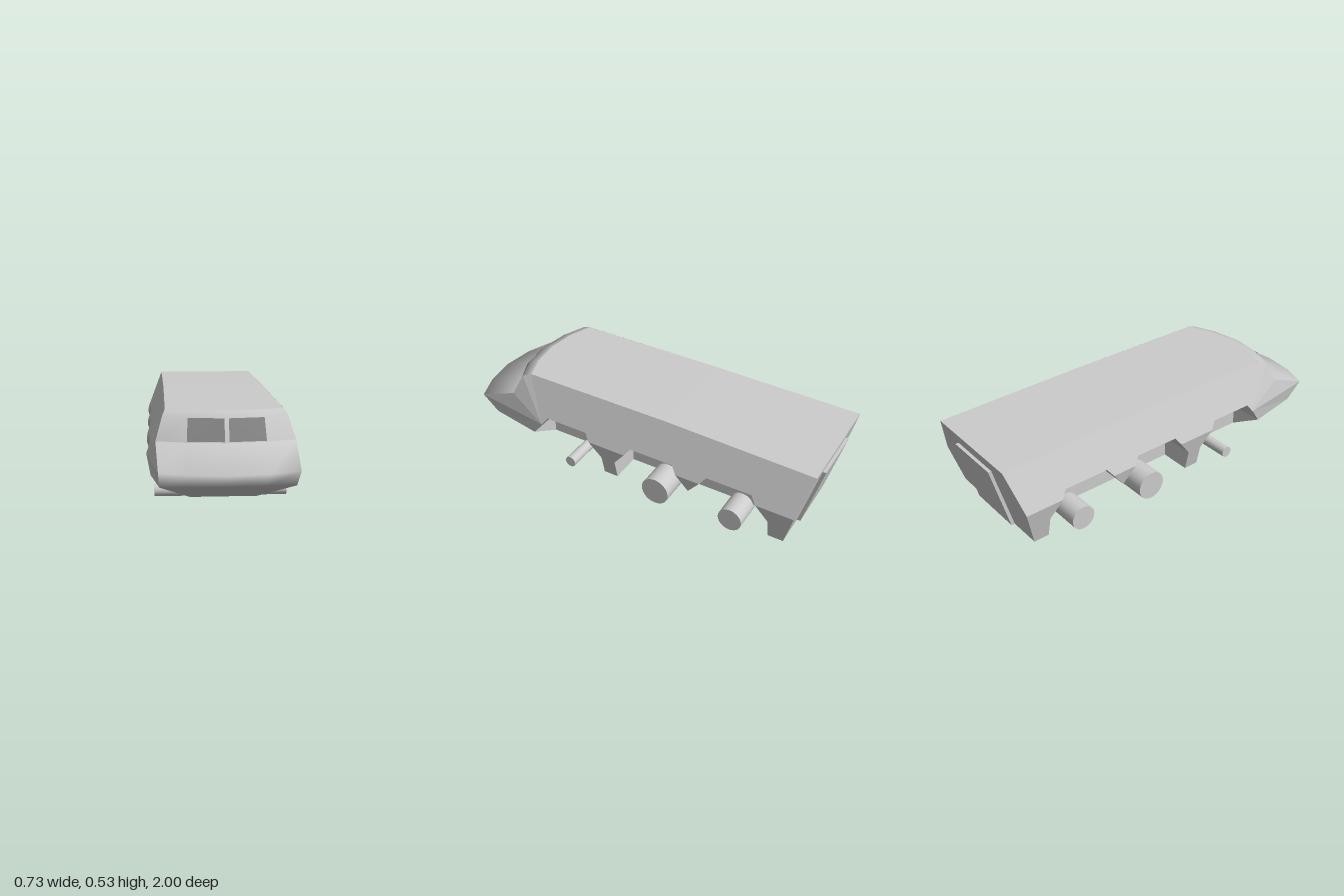
import * as THREE from 'three';

const grey = new THREE.MeshStandardMaterial({ color: 0xcccccc, side: THREE.DoubleSide });
const dark = new THREE.MeshStandardMaterial({ color: 0x888888, side: THREE.DoubleSide });

const INNER = 0.16, FLOOR = 0.1, WAIST = 0.3;
// Half width of the hull at height y: widest at the waist
const halfWidth = y => (y > WAIST ? 0.365 - (y - WAIST) * 0.39 : 0.365 - (WAIST - y) * 0.22);
const out = ([z, y]) => [halfWidth(y), y, z];

// Collects flat polygons, each turned to face along a hint direction
class Faces {
  constructor() { this.data = []; }
  tri(a, b, c, hint) {
    const [p, q, r] = [a, b, c].map(v => new THREE.Vector3(...v));
    const n = q.clone().sub(p).cross(r.clone().sub(p));
    if (n.dot(new THREE.Vector3(...hint)) < 0) [b, c] = [c, b];
    this.data.push(...a, ...b, ...c);
  }
  fan(pts, hint) {
    for (let i = 1; i < pts.length - 1; i++) this.tri(pts[0], pts[i], pts[i + 1], hint);
  }
  // Same polygon on both sides of the hull
  pair(pts, hint) {
    for (const s of [1, -1]) this.fan(pts.map(([x, y, z]) => [x * s, y, z]), [hint[0] * s, hint[1], hint[2]]);
  }
  // Outline in (z, y), laid on both sloped hull sides
  panel(outline) {
    const contour = outline.map(p => new THREE.Vector2(...p));
    for (const t of THREE.ShapeUtils.triangulateShape(contour, []))
      this.pair(t.map(i => out(outline[i])), [1, 0, 0]);
  }
  mesh(name) {
    const g = new THREE.BufferGeometry();
    g.setAttribute('position', new THREE.Float32BufferAttribute(this.data, 3));
    g.computeVertexNormals();
    const m = new THREE.Mesh(g, grey);
    m.name = name;
    return m;
  }
}

// Front cross rows: [half width, height, z at the corner, forward bow at the middle]
const ROWS = [
  [0.275, 0.53, 0.60, 0.065],
  [0.287, 0.51, 0.65, 0.07],
  [0.32, 0.40, 0.70, 0.07],
  [0.31, 0.305, 0.925, 0.075],
  [0.305, 0.22, 0.84, 0.01],
  [0.16, 0.10, 0.56, 0],
];
const US = [-1, -0.55, 0, 0.55, 1];
const rowPoint = ([w, y, z, bow], u) => [w * u, y, z + bow * (1 - u * u)];

// Smooth skin stretched over a run of rows
function skin(rows, name) {
  const pos = rows.flatMap(r => US.flatMap(u => rowPoint(r, u)));
  const idx = [], n = US.length;
  for (let j = 0; j < rows.length - 1; j++)
    for (let i = 0; i < n - 1; i++) {
      const a = j * n + i, b = a + n;
      idx.push(a, b, a + 1, a + 1, b, b + 1);
    }
  const g = new THREE.BufferGeometry();
  g.setAttribute('position', new THREE.Float32BufferAttribute(pos, 3));
  g.setIndex(idx);
  g.computeVertexNormals();
  const m = new THREE.Mesh(g, grey);
  m.name = name;
  return m;
}

function axle(name, r, half, y, z) {
  const m = new THREE.Mesh(new THREE.CylinderGeometry(r, r, half * 2, 40), grey);
  m.rotation.z = Math.PI / 2;
  m.position.set(0, y, z);
  m.name = name;
  return m;
}

export function createModel() {
  const model = new THREE.Group();
  model.name = 'armouredCarrier';

  // Wheel arch outlines (z, y), front to back
  const frontArch = [[0.56, 0.21], [0.49, 0.3], [0.46, 0.34], [0.22, 0.34], [0.192, 0.3], [0.13, 0.21], [0.13, FLOOR]];
  const rearArch = [[0.05, FLOOR], [0.05, 0.21], [-0.02, 0.3], [-0.05, 0.34], [-0.29, 0.34], [-0.318, 0.3],
    [-0.38, 0.21], [-0.449, 0.3], [-0.48, 0.34], [-0.72, 0.34], [-0.748, 0.3], [-0.81, 0.21], [-0.81, FLOOR]];

  // Side armour: upper slope, then the pieces below the waist
  const sides = new Faces();
  const above = [...frontArch, ...rearArch].filter(p => p[1] >= WAIST);
  sides.panel([[0.6, 0.53], ...above, [-0.944, 0.3], [-1, 0.515], [-0.2, 0.53]]);
  sides.panel([...frontArch.slice(4), ...rearArch.slice(0, 3)]);
  sides.panel(rearArch.slice(5, 8));
  sides.panel([...rearArch.slice(10), [-0.89, FLOOR], [-0.944, 0.3]]);
  model.add(sides.mesh('sideArmour'));

  // Nose cheeks between the waist and the front skin
  const cheeks = new Faces();
  const [roofC, browC, sillC, tipC, chinC, keelC] = ROWS.map(r => rowPoint(r, 1));
  const waistC = out([0.49, 0.3]), archC = out([0.56, 0.21]);
  cheeks.pair([waistC, sillC, browC, roofC], [1, 0, 0]);
  cheeks.pair([waistC, tipC, sillC], [1, 0.5, 0]);
  cheeks.pair([waistC, chinC, tipC], [1, -0.3, 0]);
  cheeks.pair([waistC, archC, chinC], [1, -0.3, 0]);
  cheeks.pair([archC, keelC, chinC], [0.3, -1, 0.3]);
  model.add(cheeks.mesh('noseCheeks'));

  // Wheel wells: arch ceilings and inner walls
  const wells = new Faces();
  for (const [arch, mid] of [[frontArch, 0.34], [rearArch, -0.38]])
    for (let i = 0; i < arch.length - 1; i++) {
      const [a, b] = [arch[i], arch[i + 1]];
      const dir = [0, a[0] - b[0] > 0 ? -1 : 0, a[0] === b[0] ? Math.sign(mid - a[0]) : 0];
      wells.pair([[INNER, a[1], a[0]], out(a), out(b), [INNER, b[1], b[0]]], dir);
    }
  wells.pair([archC, [INNER, 0.21, 0.56], keelC], [0, 0, -1]);
  for (const [z0, z1] of [[0.56, 0.13], [0.05, -0.81]])
    wells.pair([[INNER, FLOOR, z0], [INNER, FLOOR, z1], [INNER, 0.34, z1], [INNER, 0.34, z0]], [1, 0, 0]);
  model.add(wells.mesh('wheelWells'));

  // Belly with the wider blocks between and behind the wells
  const floor = new Faces();
  const w = halfWidth(FLOOR);
  floor.fan([[-INNER, FLOOR, 0.56], [INNER, FLOOR, 0.56], [INNER, FLOOR, -0.89], [-INNER, FLOOR, -0.89]], [0, -1, 0]);
  for (const [z0, z1] of [[0.13, 0.05], [-0.81, -0.89]])
    floor.pair([[INNER, FLOOR, z0], [w, FLOOR, z0], [w, FLOOR, z1], [INNER, FLOOR, z1]], [0, -1, 0]);
  model.add(floor.mesh('belly'));

  // Roof, dropping slightly to the back, with a bowed front edge
  const roof = new Faces();
  const rw = halfWidth(0.53), bw = halfWidth(0.515);
  roof.fan([[-rw, 0.53, -0.2], ...US.map(u => rowPoint(ROWS[0], u)), [rw, 0.53, -0.2]], [0, 1, 0]);
  roof.fan([[-rw, 0.53, -0.2], [rw, 0.53, -0.2], [bw, 0.515, -1], [-bw, 0.515, -1]], [0, 1, 0]);
  model.add(roof.mesh('roof'));

  // Sloped rear plate
  const rear = new Faces();
  rear.fan([[bw, 0.515, -1], [0.365, 0.3, -0.944], [w, FLOOR, -0.89],
    [-w, FLOOR, -0.89], [-0.365, 0.3, -0.944], [-bw, 0.515, -1]], [0, 0, -1]);
  model.add(rear.mesh('rearPlate'));

  // Raised rear ramp
  const ramp = new THREE.Shape([[-0.975, 0.45], [-1, 0.45], [-0.908, 0.1], [-0.885, 0.1]].map(p => new THREE.Vector2(...p)));
  const rampGeo = new THREE.ExtrudeGeometry(ramp, { depth: 0.3, bevelEnabled: false });
  rampGeo.rotateY(-Math.PI / 2).translate(0.15, 0, 0);
  const rampMesh = new THREE.Mesh(rampGeo, grey);
  rampMesh.name = 'rearRamp';
  model.add(rampMesh);

  // Front skin
  model.add(skin(ROWS.slice(0, 3), 'windscreenFrame'), skin(ROWS.slice(2), 'nose'));

  // Two window panes lying on the windscreen slope
  const glassPoint = (x, y) => {
    const t = (0.51 - y) / 0.11, half = 0.287 + 0.033 * t;
    return [x, y, 0.654 + 0.05 * t + 0.07 * (1 - 0.55 * Math.abs(x) / half)];
  };
  const panes = new Faces();
  panes.pair([glassPoint(0.01, 0.505), glassPoint(0.01, 0.405), glassPoint(0.18, 0.405), glassPoint(0.174, 0.505)], [0, 0, 1]);
  const paneMesh = panes.mesh('windows');
  paneMesh.material = dark;
  model.add(paneMesh);

  // Axles
  model.add(
    axle('frontAxle', 0.03, 0.33, 0.08, 0.345),
    axle('middleAxle', 0.077, 0.304, 0.077, -0.165),
    axle('rearAxle', 0.064, 0.304, 0.082, -0.595),
  );
  return model;
}
